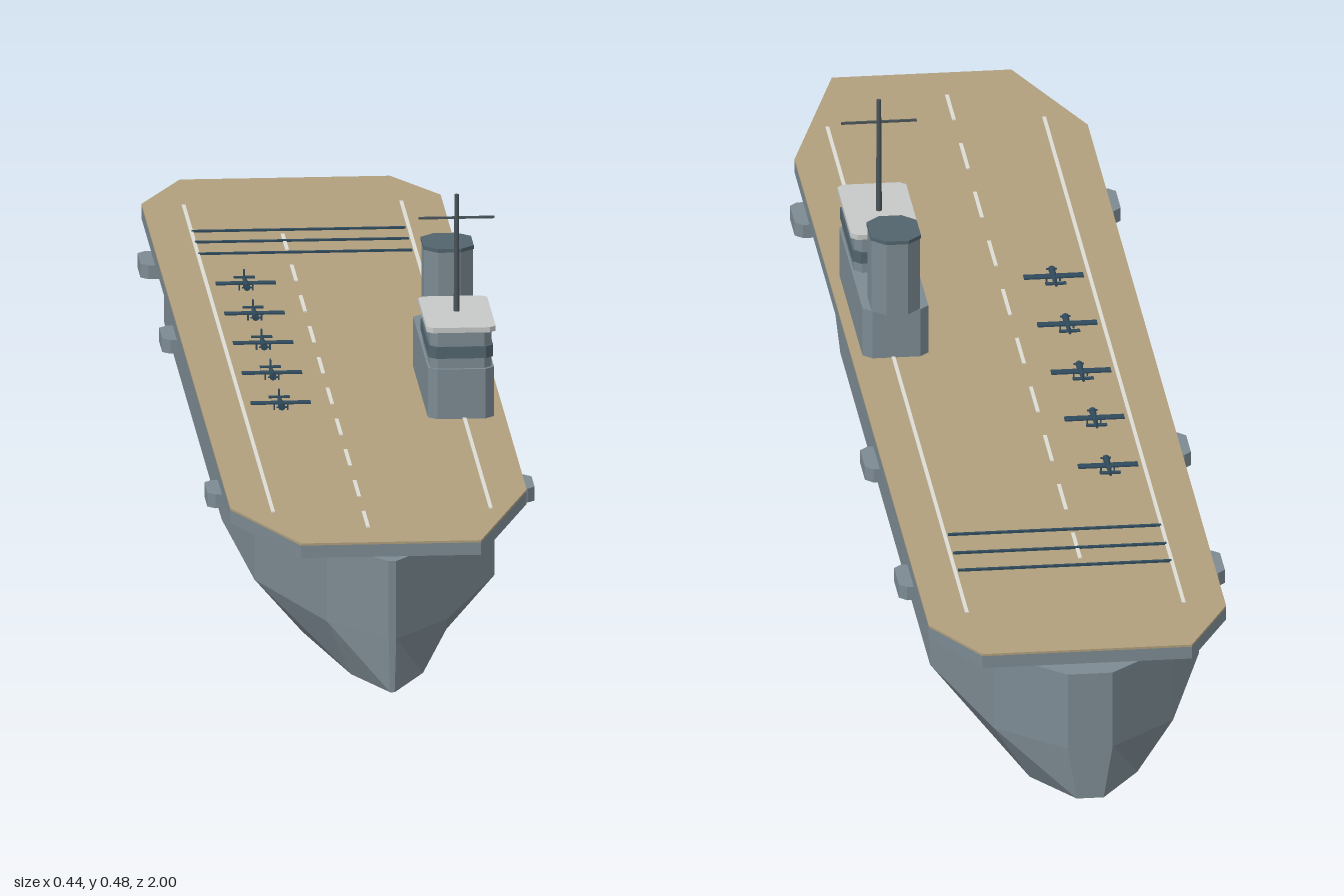
import * as THREE from 'three';

const paint = (name, color) => {
  const m = new THREE.MeshStandardMaterial({ color });
  m.name = name;
  return m;
};

export function createModel() {
  const grey = paint('hull grey', 0x7c8a92);
  const tan = paint('deck planking', 0xb09f7d);
  const dark = paint('dark grey', 0x52646d);
  const mastGrey = paint('mast grey', 0x4a555a);
  const pale = paint('roof pale grey', 0xc6c9c7);
  const white = paint('marking white', 0xdcdcd4);
  const navy = paint('aircraft blue', 0x2f4a5c);

  const ship = new THREE.Group();
  ship.name = 'ship';

  const add = (name, geo, mat, x = 0, y = 0, z = 0, parent = ship) => {
    const mesh = new THREE.Mesh(geo, mat);
    mesh.name = name;
    mesh.position.set(x, y, z);
    parent.add(mesh);
    return mesh;
  };
  const box = (name, mat, w, h, d, x, y, z, parent) =>
    add(name, new THREE.BoxGeometry(w, h, d), mat, x, y, z, parent);

  // Slab from a plan outline of [x, z] points
  const slab = (name, mat, outline, y0, y1) => {
    const shape = new THREE.Shape(outline.map(([x, z]) => new THREE.Vector2(x, -z)));
    const geo = new THREE.ExtrudeGeometry(shape, { depth: y1 - y0, bevelEnabled: false });
    geo.rotateX(-Math.PI / 2);
    return add(name, geo, mat, 0, y0, 0);
  };
  // Block whose vertical corners are cut by c
  const block = (name, mat, x0, x1, z0, z1, y0, y1, c) =>
    slab(name, mat, [
      [x0 + c, z0], [x1 - c, z0], [x1, z0 + c], [x1, z1 - c],
      [x1 - c, z1], [x0 + c, z1], [x0, z1 - c], [x0, z0 + c],
    ], y0, y1);

  // Hull: hard-chined cross-sections from bow to stern, [z, half width]
  const stations = [[1, 0.005], [0.9, 0.08], [0.67, 0.16], [0.35, 0.18], [-0.7, 0.18], [-0.92, 0.12], [-1, 0.03]];
  const rings = stations.map(([z, w]) => [
    [w, 0.18, z], [w, 0.073, z], [w * 0.6, 0, z],
    [-w * 0.6, 0, z], [-w, 0.073, z], [-w, 0.18, z],
  ]);
  const pos = [];
  const tri = (a, b, c) => pos.push(...a, ...b, ...c);
  for (let i = 0; i < rings.length - 1; i++) {
    for (let j = 0; j < 6; j++) {
      const k = (j + 1) % 6;
      tri(rings[i][j], rings[i][k], rings[i + 1][k]);
      tri(rings[i][j], rings[i + 1][k], rings[i + 1][j]);
    }
  }
  const bow = rings[0], stern = rings[rings.length - 1];
  for (let k = 1; k < 5; k++) {
    tri(bow[0], bow[k + 1], bow[k]);
    tri(stern[0], stern[k], stern[k + 1]);
  }
  const hull = new THREE.BufferGeometry();
  hull.setAttribute('position', new THREE.Float32BufferAttribute(pos, 3));
  hull.computeVertexNormals();
  add('hull', hull, grey);

  // Flight deck
  const deckPlan = [
    [-0.12, 0.975], [0.12, 0.975], [0.2, 0.71], [0.2, -0.86],
    [0.14, -0.965], [-0.14, -0.965], [-0.2, -0.84], [-0.2, 0.78],
  ];
  slab('flightDeck', grey, deckPlan, 0.18, 0.197);
  slab('deckPlanking', tan, deckPlan, 0.197, 0.2);

  // Gun platforms along both sides
  for (const s of [-1, 1]) {
    for (const z of [0.58, -0.243, -0.64]) {
      slab('sidePlatform', grey, [
        [s * 0.16, z - 0.038], [s * 0.208, z - 0.038], [s * 0.218, z - 0.028],
        [s * 0.218, z + 0.028], [s * 0.208, z + 0.038], [s * 0.16, z + 0.038],
      ], 0.158, 0.177);
    }
    // Long edge lines
    box('edgeLine', white, 0.005, 0.002, 1.635, s * 0.145, 0.2005, -0.008);
  }

  // Centre dashes and arrestor wires
  for (let i = 0; i < 10; i++) {
    box('centreDash', white, 0.005, 0.002, 0.085, -0.025, 0.2005, -0.62 + i * 0.164);
  }
  for (const z of [-0.685, -0.627, -0.565]) {
    box('arrestorWire', navy, 0.285, 0.003, 0.005, -0.002, 0.201, z);
  }

  // Island
  block('islandBase', grey, 0.097, 0.185, 0.035, 0.33, 0.2, 0.268, 0.012);
  block('bridge', grey, 0.1, 0.182, 0.165, 0.325, 0.268, 0.318, 0.01);
  block('bridgeWindows', dark, 0.098, 0.184, 0.163, 0.327, 0.282, 0.298, 0.01);
  block('bridgeRoof', pale, 0.095, 0.187, 0.16, 0.33, 0.318, 0.325, 0.008);
  block('funnel', grey, 0.109, 0.174, 0.02, 0.104, 0.268, 0.37, 0.018);
  block('funnelCap', dark, 0.108, 0.175, 0.019, 0.105, 0.37, 0.375, 0.018);

  // Mast and yard
  add('mast', new THREE.CylinderGeometry(0.003, 0.004, 0.16, 8), mastGrey, 0.141, 0.405, 0.24);
  box('mastYard', mastGrey, 0.101, 0.003, 0.003, 0.141, 0.453, 0.24);

  // Parked aircraft, noses forward
  for (const z of [-0.38, -0.22, -0.063, 0.097, 0.257]) {
    const plane = new THREE.Group();
    plane.name = 'aircraft';
    plane.position.set(-0.095, 0.209, z);
    ship.add(plane);
    const body = new THREE.CylinderGeometry(0.005, 0.002, 0.056, 8);
    body.rotateX(Math.PI / 2);
    add('fuselage', body, navy, 0, 0, 0, plane);
    box('wing', navy, 0.08, 0.002, 0.013, 0, 0, 0.004, plane);
    box('tailplane', navy, 0.028, 0.002, 0.007, 0, 0.001, -0.023, plane);
    box('fin', navy, 0.002, 0.01, 0.008, 0, 0.006, -0.024, plane);
    box('propeller', navy, 0.014, 0.002, 0.002, 0, 0, 0.029, plane);
    for (const s of [-1, 1]) {
      box('wheelLeg', navy, 0.002, 0.009, 0.003, s * 0.009, -0.0045, 0.008, plane);
    }
  }

  return ship;
}
